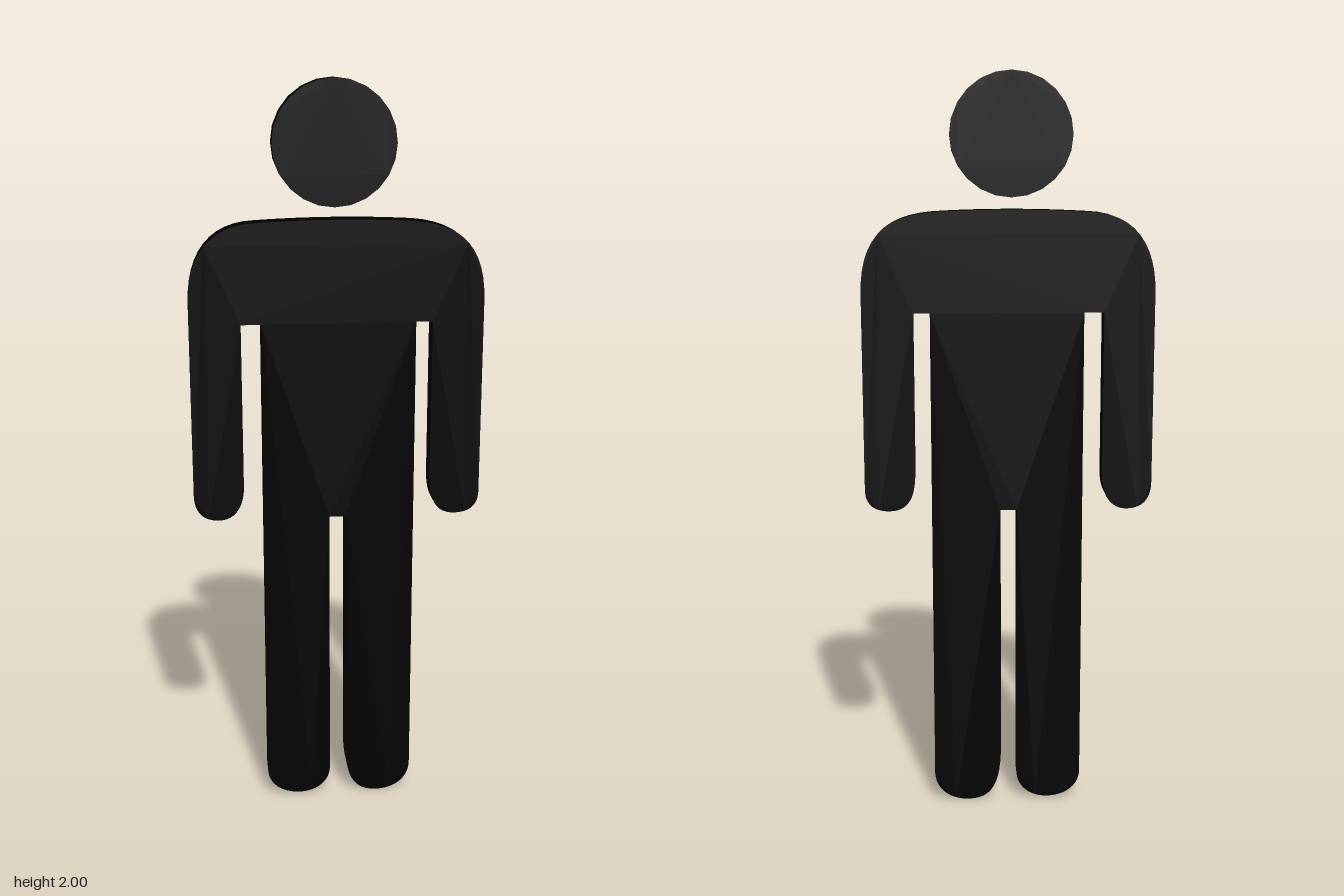
import * as THREE from 'three';

const DEPTH = 0.06;

// Extrude a flat outline into a slab centred on z = 0
function slab(name, shape, material) {
  const geometry = new THREE.ExtrudeGeometry(shape, { depth: DEPTH, bevelEnabled: false, curveSegments: 12 });
  geometry.translate(0, 0, -DEPTH / 2);
  const mesh = new THREE.Mesh(geometry, material);
  mesh.name = name;
  return mesh;
}

export function createModel() {
  const model = new THREE.Group();
  model.name = 'standingFigureSign';
  const black = new THREE.MeshStandardMaterial({ color: 0x000000 });

  // Round head, floating above the shoulders
  const head = new THREE.Shape();
  head.absarc(-0.007, 1.84, 0.16, 0, Math.PI * 2);
  model.add(slab('head', head, black));

  // Body outline, counter-clockwise from the crotch
  const body = new THREE.Shape();
  body.moveTo(-0.022, 0.845);
  // right leg with rounded foot
  body.lineTo(-0.022, 0.08);
  body.bezierCurveTo(-0.022, 0.035, -0.06, 0.004, -0.108, 0.004);
  body.bezierCurveTo(-0.16, 0.004, -0.2, 0.035, -0.2, 0.08);
  // right side of the torso and armpit
  body.lineTo(-0.2, 1.38);
  body.lineTo(-0.253, 1.38);
  // right arm with rounded hand
  body.lineTo(-0.253, 0.94);
  body.bezierCurveTo(-0.253, 0.88, -0.28, 0.845, -0.32, 0.845);
  body.bezierCurveTo(-0.365, 0.845, -0.388, 0.87, -0.388, 0.92);
  // shoulders
  body.lineTo(-0.388, 1.43);
  body.bezierCurveTo(-0.388, 1.56, -0.33, 1.64, -0.21, 1.643);
  body.quadraticCurveTo(0, 1.655, 0.2, 1.643);
  body.bezierCurveTo(0.33, 1.632, 0.388, 1.57, 0.388, 1.43);
  // left arm with rounded hand
  body.lineTo(0.388, 0.905);
  body.bezierCurveTo(0.388, 0.865, 0.365, 0.845, 0.322, 0.845);
  body.bezierCurveTo(0.27, 0.845, 0.252, 0.885, 0.252, 0.95);
  // left armpit and side of the torso
  body.lineTo(0.252, 1.38);
  body.lineTo(0.208, 1.38);
  // left leg with rounded foot
  body.lineTo(0.208, 0.08);
  body.bezierCurveTo(0.205, 0.03, 0.165, 0, 0.113, 0);
  body.bezierCurveTo(0.045, 0, 0.022, 0.05, 0.022, 0.16);
  body.lineTo(0.022, 0.845);
  body.closePath();
  model.add(slab('body', body, black));

  return model;
}
